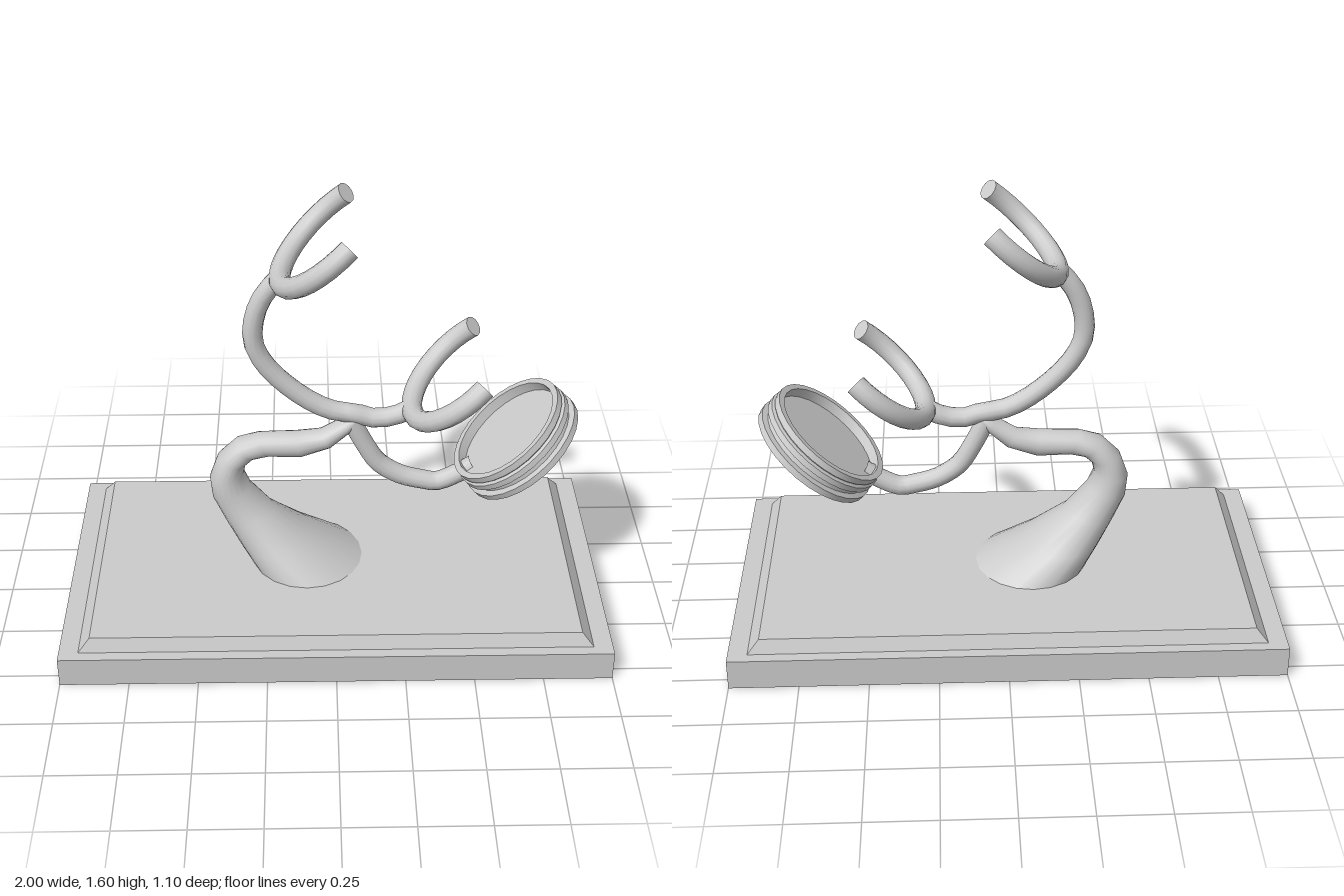
import * as THREE from 'three';
import { toCreasedNormals } from 'three/addons/utils/BufferGeometryUtils.js';

const material = new THREE.MeshStandardMaterial({ color: 0xcccccc });

function mesh(name, geometry, parent) {
  const m = new THREE.Mesh(geometry, material);
  m.name = name;
  parent.add(m);
  return m;
}

// Bent rod in the x-y plane
function rod(name, points, radius, parent) {
  const curve = new THREE.CatmullRomCurve3(points.map(([x, y]) => new THREE.Vector3(x, y, 0)));
  return mesh(name, new THREE.TubeGeometry(curve, 20, radius, 12), parent);
}

// Closed loft; each row holds outer x, y, inner x, y and half depth in z
function loft(rows, sides) {
  const pos = [], index = [];
  rows.forEach(([ox, oy, ix, iy, depth]) => {
    for (let j = 0; j < sides; j++) {
      const a = (j / sides) * Math.PI * 2, c = Math.cos(a) / 2;
      pos.push((ox + ix) / 2 + (ox - ix) * c, (oy + iy) / 2 + (oy - iy) * c, depth * Math.sin(a));
    }
  });
  for (let i = 0; i < rows.length - 1; i++) {
    for (let j = 0; j < sides; j++) {
      const k = (j + 1) % sides, a = i * sides + j, b = i * sides + k;
      index.push(a, b, b + sides, a, b + sides, a + sides);
    }
  }
  const end = (rows.length - 1) * sides;
  for (let j = 1; j < sides - 1; j++) index.push(end, end + j, end + j + 1);
  const g = new THREE.BufferGeometry();
  g.setAttribute('position', new THREE.Float32BufferAttribute(pos, 3));
  g.setIndex(index);
  g.computeVertexNormals();
  return g;
}

// Open ring cradle, tilted, with its lowest point at x, y
function cradle(name, x, y, parent) {
  const R = 0.235, r = 0.038, over = 0.36, arc = Math.PI + 2 * over;
  const group = new THREE.Group();
  group.name = name;
  const ring = new THREE.Group();
  mesh('cradleRing', new THREE.TorusGeometry(R, r, 12, 20, arc), ring);
  const startCap = mesh('cradleTip', new THREE.CircleGeometry(r, 12), ring);
  startCap.position.set(R, 0, 0);
  startCap.rotation.x = Math.PI / 2; // faces -y
  const endCap = mesh('cradleTip', new THREE.CircleGeometry(r, 12), ring);
  endCap.position.set(R * Math.cos(arc), R * Math.sin(arc), 0);
  endCap.rotation.set(-Math.PI / 2, 0, arc, 'ZXY');
  // Opening faces local +y, then the ring is turned into the y-z plane and tilted
  ring.rotation.z = Math.PI - over;
  const turn = new THREE.Group();
  turn.add(ring);
  turn.position.y = R;
  turn.rotation.y = Math.PI / 2;
  group.add(turn);
  group.position.set(x, y, 0);
  group.rotation.z = -0.83;
  parent.add(group);
}

export function createModel() {
  const model = new THREE.Group();
  model.name = 'holderStand';

  // Base slab with a bevelled raised panel
  mesh('baseSlab', new THREE.BoxGeometry(2, 0.115, 1.1), model).position.y = 0.0575;
  const panel = new THREE.BoxGeometry(1.86, 0.05, 1.02);
  const p = panel.attributes.position;
  for (let i = 0; i < p.count; i++) {
    if (p.getY(i) > 0) p.setXYZ(i, Math.sign(p.getX(i)) * 0.888, 0.025, Math.sign(p.getZ(i)) * 0.488);
  }
  panel.computeVertexNormals();
  mesh('basePanel', panel, model).position.y = 0.14;

  // Flared trunk that bends over to the right
  mesh('trunk', loft([
    [-0.31, 0.16, 0.115, 0.16, 0.22],
    [-0.36, 0.25, -0.07, 0.27, 0.158],
    [-0.41, 0.345, -0.225, 0.39, 0.092],
    [-0.455, 0.45, -0.31, 0.49, 0.08],
    [-0.462, 0.53, -0.335, 0.55, 0.073],
    [-0.43, 0.62, -0.325, 0.59, 0.066],
    [-0.36, 0.69, -0.295, 0.615, 0.058],
    [-0.28, 0.715, -0.24, 0.625, 0.052],
    [-0.14, 0.72, -0.12, 0.62, 0.05],
    [-0.05, 0.728, -0.01, 0.66, 0.046],
    [0.03, 0.775, 0.06, 0.725, 0.042],
    [0.07, 0.795, 0.09, 0.76, 0.03],
  ], 20), model);

  // Arms
  rod('upperArm', [[-0.188, 1.36], [-0.245, 1.29], [-0.28, 1.2], [-0.285, 1.1], [-0.245, 1.01],
    [-0.16, 0.915], [-0.06, 0.84], [0.01, 0.81], [0.08, 0.8], [0.14, 0.78], [0.22, 0.788],
    [0.283, 0.82]], 0.036, model);
  rod('lowerArm', [[0.065, 0.765], [0.12, 0.655], [0.165, 0.585], [0.245, 0.53], [0.33, 0.505],
    [0.385, 0.497], [0.45, 0.525], [0.52, 0.57]], 0.036, model);

  // Cradles
  cradle('upperCradle', -0.188, 1.36, model);
  cradle('lowerCradle', 0.283, 0.82, model);

  // Tilted round cup with grooved side and recessed top
  const profile = [[0, 0], [0.245, 0], [0.247, 0.025], [0.226, 0.03], [0.226, 0.05], [0.243, 0.055],
    [0.243, 0.078], [0.232, 0.084], [0.238, 0.09], [0.238, 0.115], [0.215, 0.115], [0.215, 0.075], [0, 0.075]];
  const cup = new THREE.LatheGeometry(profile.map(([x, y]) => new THREE.Vector2(x, y)), 28);
  const cupMesh = mesh('cup', toCreasedNormals(cup, 0.5), model);
  cupMesh.position.set(0.702, 0.643, 0);
  cupMesh.rotation.z = 0.71;

  return model;
}
